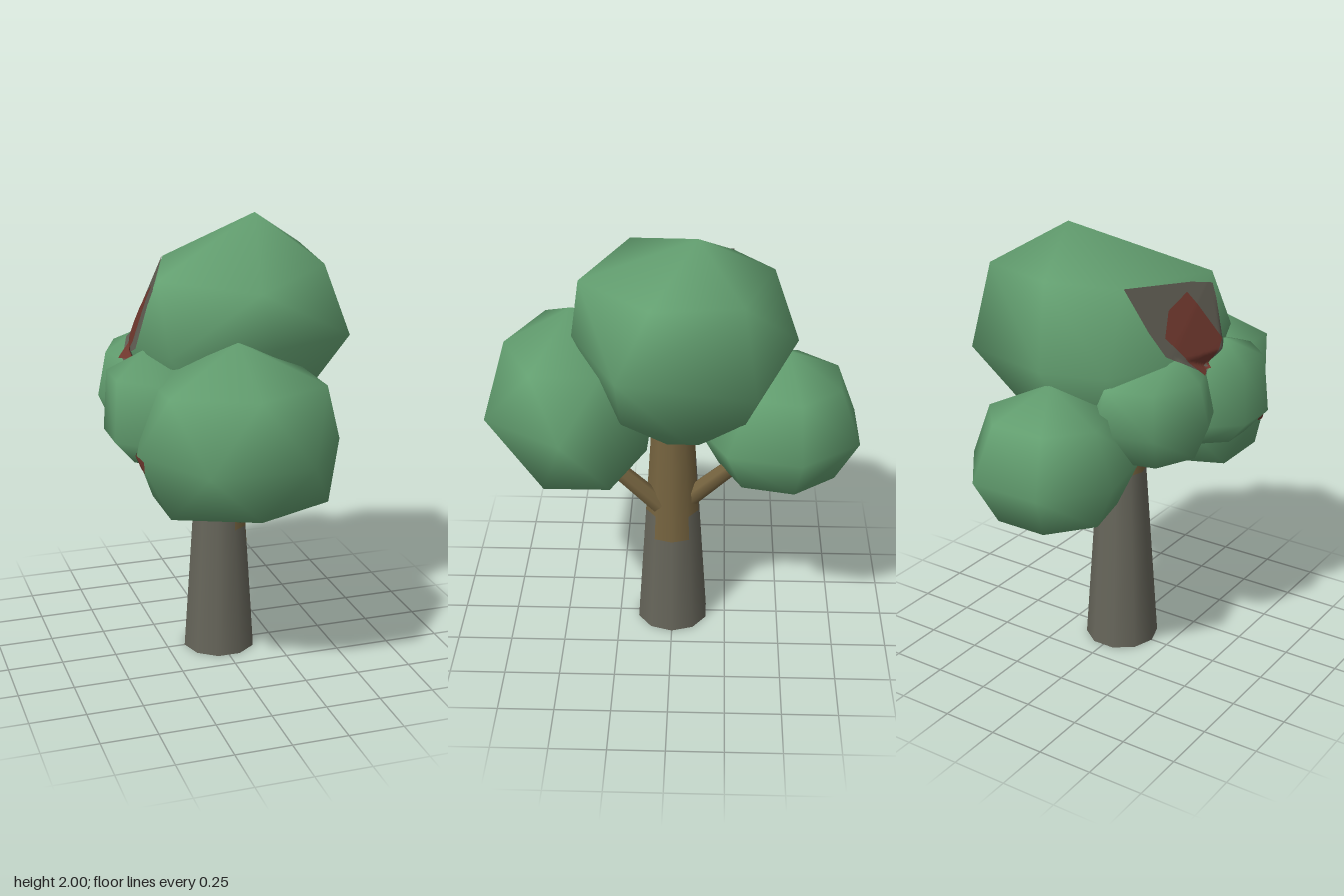
import * as THREE from 'three';
import { mergeVertices } from 'three/addons/utils/BufferGeometryUtils.js';
import { ConvexGeometry } from 'three/addons/geometries/ConvexGeometry.js';

const mat = (name, color, side = THREE.FrontSide) => {
  const m = new THREE.MeshStandardMaterial({ color, side });
  m.name = name;
  return m;
};

// Level ring of corners for a clump
const ring = (y, cx, cz, rx, rz, sides, turn) => Array.from({ length: sides }, (_, i) => {
  const t = turn + (i / sides) * Math.PI * 2;
  return [cx + rx * Math.sin(t), y, cz + rz * Math.cos(t)];
});

// Foliage clump: a smooth-shaded hull round a few corners
function clump(name, corners, material) {
  let geo = new ConvexGeometry(corners.map(c => new THREE.Vector3(...c)));
  geo.deleteAttribute('normal');
  geo = mergeVertices(geo, 1e-4);
  geo.computeVertexNormals();
  const mesh = new THREE.Mesh(geo, material);
  mesh.name = name;
  return mesh;
}

// Thin patch laid over the foliage by dropping points toward a centre
function patch(name, outline, centre, lift, targets, material) {
  const origin = new THREE.Vector3(...centre);
  const ray = new THREE.Raycaster();
  const drop = p => {
    const dir = p.clone().sub(origin).normalize();
    ray.set(origin.clone().addScaledVector(dir, 2), dir.clone().negate());
    const hit = ray.intersectObjects(targets, false)[0];
    return (hit ? hit.point.clone() : p.clone()).addScaledVector(dir, lift);
  };
  const pts = outline.map(p => new THREE.Vector3(...p));
  const mid = pts.reduce((s, p) => s.add(p), new THREE.Vector3()).divideScalar(pts.length);
  const pos = [];
  const split = (a, b, c, depth) => {
    if (depth === 0) {
      for (const p of [a, b, c]) pos.push(...drop(p).toArray());
      return;
    }
    const half = (p, q) => p.clone().lerp(q, 0.5);
    const ab = half(a, b), bc = half(b, c), ca = half(c, a);
    split(a, ab, ca, depth - 1);
    split(ab, b, bc, depth - 1);
    split(ca, bc, c, depth - 1);
    split(ab, bc, ca, depth - 1);
  };
  pts.forEach((p, i) => split(mid, pts[(i + 1) % pts.length], p, 4));
  let geo = new THREE.BufferGeometry();
  geo.setAttribute('position', new THREE.Float32BufferAttribute(pos, 3));
  geo = mergeVertices(geo, 1e-4);
  geo.computeVertexNormals();
  const mesh = new THREE.Mesh(geo, material);
  mesh.name = name;
  return mesh;
}

export function createModel() {
  const tree = new THREE.Group();
  tree.name = 'tree';
  const leaf = mat('leafGreen', 0x639f70);
  const bark = mat('greyBark', 0x66655a);
  const wood = mat('brownWood', 0x75633f);
  const red = mat('rustRed', 0x6e372d, THREE.DoubleSide);
  const grey = mat('patchGrey', 0x5d5a50, THREE.DoubleSide);

  // Trunk: tapered bands, with brown spreading up the +x side
  const radius = y => 0.168 - 0.067 * y;
  const step = Math.PI / 5;
  const band = (name, y0, y1, material, from = 0, sides = 10) => {
    const geo = new THREE.CylinderGeometry(radius(y1), radius(y0), y1 - y0, sides, 1, true, (from + 0.5) * step, sides * step);
    const m = new THREE.Mesh(geo, material);
    m.position.y = (y0 + y1) / 2;
    m.name = name;
    tree.add(m);
  };
  band('lowerTrunk', 0, 0.48, bark);
  band('middleTrunk', 0.48, 0.6, bark, 3, 8);
  band('middleTrunkBrown', 0.48, 0.6, wood, 1, 2);
  band('upperTrunk', 0.6, 0.86, bark, 4, 6);
  band('upperTrunkBrown', 0.6, 0.86, wood, 0, 4);
  band('topTrunk', 0.86, 1.15, wood);
  const base = new THREE.Mesh(new THREE.CircleGeometry(radius(0), 10, step / 2 + Math.PI / 2), wood);
  base.rotation.x = Math.PI / 2;
  base.name = 'trunkBase';
  tree.add(base);

  // Two branches reaching into the front and back clumps
  for (const s of [1, -1]) {
    const a = new THREE.Vector3(0.05 + s * 0.02, 0.65, s * 0.06);
    const b = new THREE.Vector3(0.09, 0.93, s * 0.34);
    const m = new THREE.Mesh(new THREE.CylinderGeometry(0.036, 0.046, a.distanceTo(b), 7), wood);
    m.position.copy(a).lerp(b, 0.5);
    m.quaternion.setFromUnitVectors(new THREE.Vector3(0, 1, 0), b.clone().sub(a).normalize());
    m.name = s > 0 ? 'frontBranch' : 'backBranch';
    tree.add(m);
  }

  // Foliage clumps
  const eighth = Math.PI / 8;
  const seventh = Math.PI / 7;
  const crown = clump('crown', [
    [0.2, 2, -0.11],
    [0.48, 1.82, -0.3], [0.46, 1.79, 0.08], [0.06, 1.75, 0.4],
    [-0.33, 1.79, 0.2], [-0.18, 1.8, -0.26], [0.1, 1.83, -0.43],
    [0.55, 1.44, -0.36], [0.53, 1.5, 0.22], [0.12, 1.52, 0.43], [-0.33, 1.5, 0.38],
    [-0.43, 1.48, 0.12], [-0.35, 1.48, -0.19], [-0.2, 1.46, -0.42], [0.05, 1.48, -0.545],
    ...ring(1.17, 0.05, -0.05, 0.34, 0.34, 7, Math.PI / 2),
    ...ring(1.01, 0.02, -0.05, 0.15, 0.14, 6, 0),
  ], leaf);
  const front = clump('frontClump', [
    [-0.06, 1.57, 0.45], [-0.08, 0.78, 0.4],
    ...ring(1.4, -0.06, 0.45, 0.39, 0.3, 6, 0),
    ...ring(1.12, -0.05, 0.45, 0.44, 0.42, 6, 0.47),
    ...ring(0.87, -0.035, 0.41, 0.4, 0.29, 6, 0),
  ], leaf);
  const back = clump('backClump', [
    [0.03, 1.42, -0.5], [0.03, 0.77, -0.48],
    ...ring(1.29, 0.03, -0.5, 0.28, 0.26, 7, 0),
    ...ring(1.05, 0.035, -0.48, 0.37, 0.38, 7, Math.PI + seventh),
    ...ring(0.85, 0.03, -0.48, 0.27, 0.27, 7, 0),
  ], leaf);
  const sideBack = clump('sideClumpBack', [
    [-0.34, 1.51, -0.12], [-0.22, 1, -0.1],
    ...ring(1.41, -0.24, -0.14, 0.24, 0.28, 7, -Math.PI / 2),
    ...ring(1.22, -0.23, -0.13, 0.29, 0.33, 7, -Math.PI / 2),
    ...ring(1.06, -0.23, -0.12, 0.22, 0.23, 7, -Math.PI / 2),
  ], leaf);
  const sideFront = clump('sideClumpFront', [
    [-0.4, 1.5, 0.2], [-0.3, 1, 0.2],
    ...ring(1.41, -0.3, 0.22, 0.26, 0.24, 8, eighth),
    ...ring(1.15, -0.28, 0.23, 0.3, 0.27, 8, eighth),
    ...ring(1.04, -0.28, 0.22, 0.2, 0.18, 8, eighth),
  ], leaf);
  const leaves = [crown, front, back, sideBack, sideFront];
  tree.add(...leaves);

  // Discoloured patches on the -x side of the foliage
  const heart = [0, 1.4, 0];
  tree.add(
    patch('greyPatch', [
      [-0.3, 1.64, -0.24], [-0.18, 1.8, -0.26], [-0.31, 1.78, 0.07], [-0.33, 1.73, 0.17],
      [-0.43, 1.5, 0.16], [-0.47, 1.4, 0], [-0.35, 1.52, -0.19],
    ], heart, 0.005, leaves, grey),
    patch('redPatch', [
      [-0.34, 1.6, -0.17], [-0.31, 1.7, -0.1], [-0.32, 1.75, 0.03], [-0.37, 1.64, 0.08],
      [-0.41, 1.52, 0.13], [-0.46, 1.42, 0.04], [-0.46, 1.41, -0.04],
    ], heart, 0.009, leaves, red),
    patch('redSpot', [
      [-0.48, 1.13, 0.42], [-0.48, 1.1, 0.47], [-0.46, 1.04, 0.46], [-0.47, 1.05, 0.41],
    ], [-0.05, 1.15, 0.43], 0.006, leaves, red),
  );
  return tree;
}
